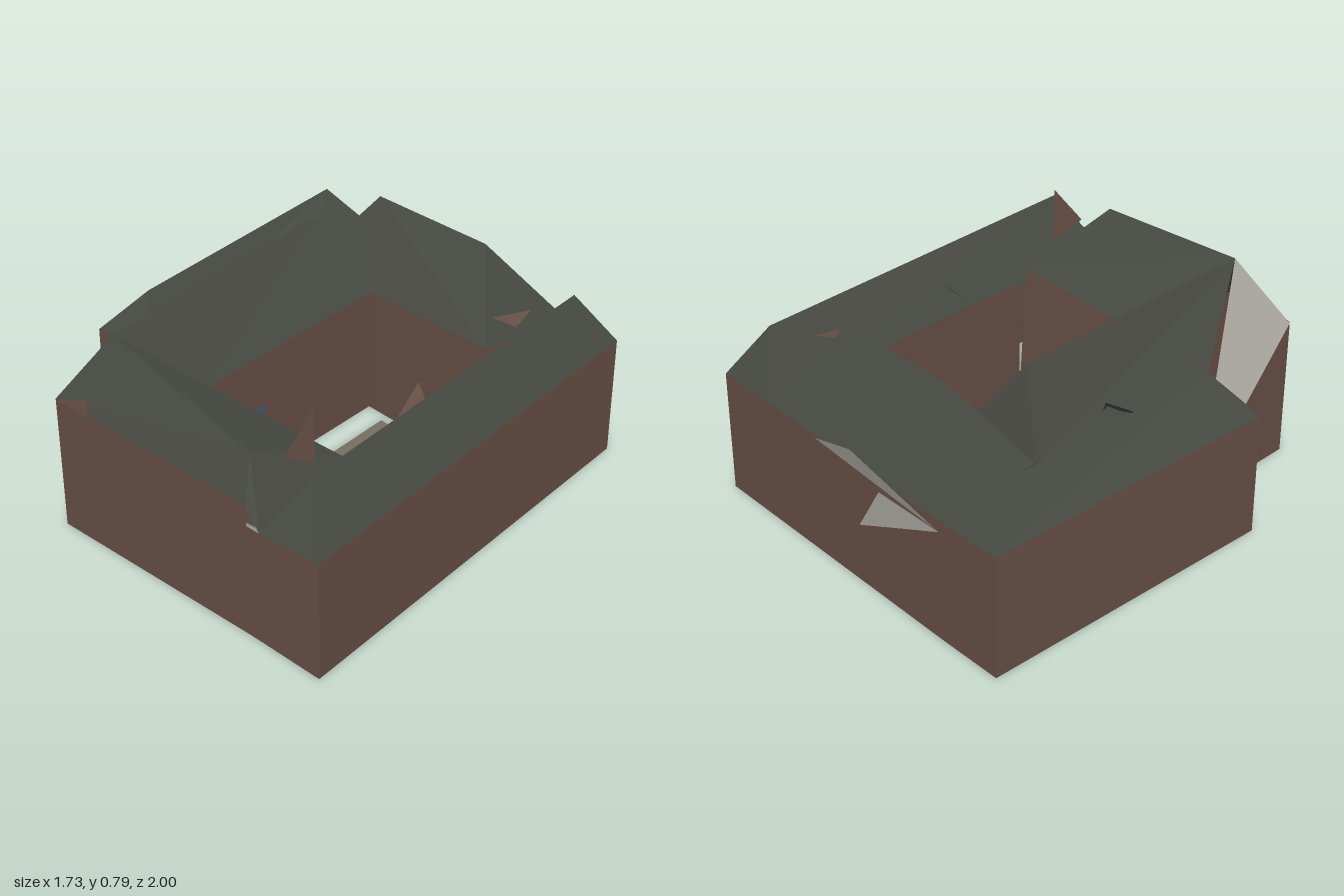
import * as THREE from 'three';

const material = (name, color) => {
  const m = new THREE.MeshStandardMaterial({ color, side: THREE.DoubleSide, flatShading: true });
  m.name = name;
  return m;
};

// Mesh made of flat polygons, each a fan of [x, y, z] corners
function panels(name, mat, polygons) {
  const pos = [];
  for (const p of polygons)
    for (let i = 1; i < p.length - 1; i++) pos.push(...p[0], ...p[i], ...p[i + 1]);
  const g = new THREE.BufferGeometry();
  g.setAttribute('position', new THREE.Float32BufferAttribute(pos, 3));
  g.computeVertexNormals();
  const mesh = new THREE.Mesh(g, mat);
  mesh.name = name;
  return mesh;
}

// Vertical wall from the ground up to the line between two eave points
const wall = (a, b) => [[a[0], 0, a[2]], [b[0], 0, b[2]], b, a];
const run = (...pts) => pts.slice(1).map((p, i) => wall(pts[i], p));

export function createModel() {
  const brick = material('brown wall', 0x674f45);
  const slate = material('dark slate roof', 0x484b43);
  const stone = material('courtyard paving', 0x766e61);
  const pale = material('pale grey', 0xaaa8a0);
  const glass = material('blue grey glass', 0x4b5a66);

  // Outer eaves
  const NW = [-0.40, 0.47, -1.0], NE = [0.86, 0.47, -0.46], SE = [0.27, 0.47, 1.0];
  const SW = [-0.80, 0.53, 0.55], W = [-0.87, 0.47, 0.05], F = [-0.64, 0.47, 0.14];
  const N1 = [-0.17, 0.47, -0.905], N2 = [0.64, 0.47, -0.555];
  const S1 = [-0.01, 0.53, 0.875], S2 = [0.04, 0.45, 0.897];
  // Courtyard eaves
  const c1 = [-0.03, 0.50, -0.43], c2 = [0.46, 0.52, -0.19];
  const c3 = [0.19, 0.52, 0.53], c4 = [-0.37, 0.50, 0.30];
  const valley = [-0.32, 0.49, -0.53];
  // Ridges
  const w1 = [-0.34, 0.63, -0.86], w2 = [-0.70, 0.63, -0.01];
  const n1 = [-0.06, 0.78, -0.63], n2 = [0.38, 0.78, -0.44];
  const e1 = [0.71, 0.665, -0.40], e2 = [0.21, 0.675, 0.82];
  const i1 = [-0.24, 0.78, -0.42], i2 = [-0.61, 0.78, 0.48], s2 = [-0.02, 0.68, 0.80];

  const g = new THREE.Group();
  g.name = 'courtyardBuilding';
  g.add(
    panels('outerWalls', brick, [
      ...run(SW, S1), ...run(S2, SE, NE, N2, N1, NW, W, F),
      wall([S1[0], 0.45, S1[2]], S2),
      [[SW[0], 0, SW[2]], SW, [F[0], 0, F[2]]],
    ]),
    panels('courtyardWalls', brick, [
      ...run(c4, c1, c2),
      wall([0.45, 0.48, -0.12], [0.20, 0.48, 0.49]),
      [[0.20, 0, 0.49], [-0.37, 0, 0.30], c4, c3],
    ]),
    panels('courtyardFloor', stone, [
      [[0.04, 0.002, -0.36], [-0.27, 0.002, 0.34], [0.20, 0.002, 0.49], [0.45, 0.002, -0.12]],
    ]),
    // Hipped roofs of each wing
    panels('westRoof', slate, [
      [NW, W, w2, w1], [w1, w2, F, valley, N1], [NW, w1, N1], [W, F, w2],
    ]),
    panels('northRoof', slate, [
      [N1, n1, n2, N2], [n1, valley, c1, c2, n2], [N1, valley, n1], [N2, n2, c2],
    ]),
    panels('eastRoof', slate, [
      [NE, e1, e2, SE], [N2, S2, e2, e1], [NE, N2, e1], [SE, e2, S2],
    ]),
    panels('innerWestRoof', slate, [
      [i1, i2, c4, c1], [i2, i1, valley, F], [i1, c1, valley],
    ]),
    panels('southRoof', slate, [
      [SW, S1, s2, i2], [i2, s2, c3, c4], [s2, S2, c3], [S1, S2, s2],
    ]),
    panels('roofBump', slate, [
      [[-0.57, 0.56, -0.23], [-0.42, 0.50, -0.16], [-0.45, 0.60, -0.27]],
      [[-0.45, 0.60, -0.27], [-0.42, 0.50, -0.16], [-0.41, 0.50, -0.21]],
    ]),
    // Loose wall fragments poking through the roofs
    panels('wallFragments', brick, [
      [[0.14, 0.79, 0.66], [0.07, 0.64, 0.75], [0.14, 0.58, 0.66]],
      [[0.58, 0.62, -0.33], [0.46, 0.60, -0.27], [0.55, 0.60, -0.24]],
      [[0.33, 0.60, 0.17], [0.37, 0.57, 0.22], [0.28, 0.49, 0.27]],
      [[-0.80, 0.53, 0.555], [-0.66, 0.53, 0.612], [-0.66, 0.59, 0.60]],
    ]),
    // Pale exposed panels
    panels('palePanels', pale, [
      [i2, SW, [F[0], 0.03, F[2]]],
      [[-0.17, 0.44, -0.92], [0.21, 0.55, -0.78], [0.40, 0.47, -0.67]],
      [[-0.17, 0.44, -0.92], [0.20, 0.24, -0.755], [0.10, 0.43, -0.80]],
    ]),
    // Low glazing facing the courtyard
    panels('windows', glass, [
      [[0.06, 0.0, -0.395], [0.38, 0.0, -0.238], [0.38, 0.05, -0.238], [0.06, 0.05, -0.395]],
      [[-0.36, 0.02, 0.30], [-0.25, 0.02, 0.06], [-0.25, 0.3, 0.06], [-0.36, 0.3, 0.30]],
    ]),
  );
  return g;
}
